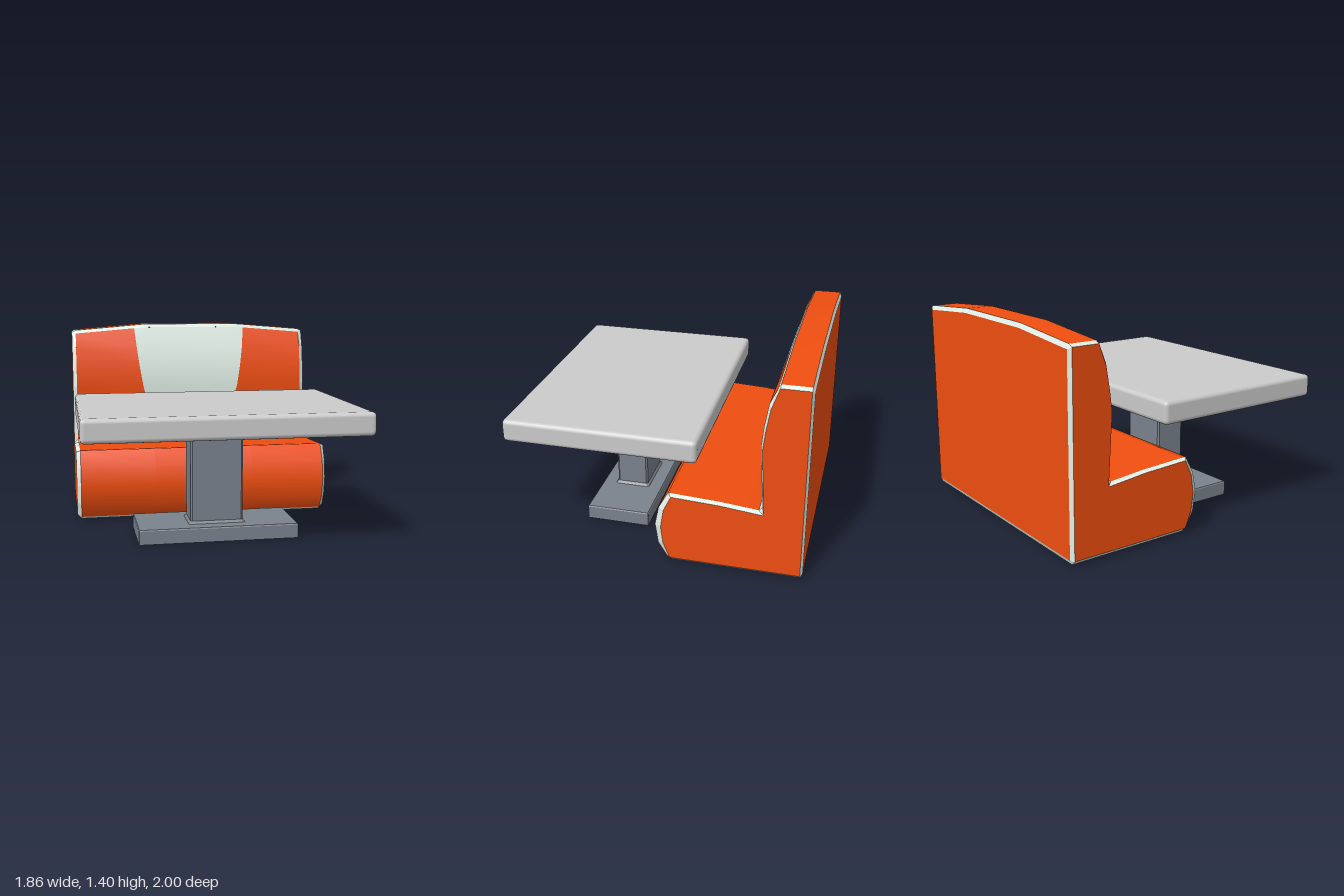
import * as THREE from 'three';
import { RoundedBoxGeometry } from 'three/addons/geometries/RoundedBoxGeometry.js';

const material = (color, extra = {}) => new THREE.MeshStandardMaterial({ color, ...extra });

function addMesh(parent, name, geometry, mat) {
  const mesh = new THREE.Mesh(geometry, mat);
  mesh.name = name;
  parent.add(mesh);
  return mesh;
}

// Surface through rows of [x, y, z] points
function surface(rows) {
  const n = rows[0].length, index = [];
  for (let r = 0; r < rows.length - 1; r++) {
    for (let c = 0; c < n - 1; c++) {
      const a = r * n + c, b = a + n;
      index.push(a, b, b + 1, a, b + 1, a + 1);
    }
  }
  const g = new THREE.BufferGeometry();
  g.setAttribute('position', new THREE.Float32BufferAttribute(rows.flat(2), 3));
  g.setIndex(index);
  g.computeVertexNormals();
  return g;
}

// Bench profile: z, y of the upholstery, then z, y of the inset side panel
const PROFILE = [
  [-0.8, 1.4, -0.8, 1.34], [-0.785, 1.375, -0.8, 1.34], [-0.735, 1.22, -0.75, 1.2],
  [-0.71, 1.07, -0.725, 1.05], [-0.695, 0.92, -0.71, 0.92],
  [-0.722, 0.5, -0.735, 0.47], [-0.7, 0.478, -0.735, 0.46],
  [-0.45, 0.502, -0.45, 0.49], [-0.14, 0.518, -0.15, 0.505], [-0.11, 0.52, -0.135, 0.505],
  [-0.045, 0.4, -0.085, 0.4], [-0.02, 0.27, -0.065, 0.27], [-0.04, 0.13, -0.08, 0.15],
  [-0.1, 0.03, -0.12, 0.05], [-0.13, 0.01, -0.135, 0.04],
  [-0.985, 0.01, -0.985, 0.04], [-1, 0.04, -0.985, 0.04],
  [-1, 1.37, -0.985, 1.34], [-0.985, 1.4, -0.985, 1.34], [-0.8, 1.4, -0.8, 1.34],
];
const HALF = 0.9, OUTER = 0.93;

// Upholstery point at x, with the top edge sloping down towards both ends
function outerPoint([z, y], x) {
  const drop = 0.045 * Math.max(0, Math.abs(x) - 0.36) / 0.54;
  return [x, y > 1.3 ? y - drop : y, z];
}

function createBench() {
  const bench = new THREE.Group();
  bench.name = 'bench';
  const orange = material(0xf04e10);
  const pale = material(0xe2efe7);
  const piping = material(0xe2efe7, { flatShading: true, side: THREE.DoubleSide });
  const full = [-HALF, -0.36, 0.36, HALF];

  const patch = (name, from, to, mat, columns = () => full) =>
    addMesh(bench, name, surface(PROFILE.slice(from, to + 1)
      .map((p, i) => columns(i).map((x) => outerPoint(p, x)))), mat);

  // Backrest front: pale tapering centre between two orange sides
  const edge = [0.44, 0.425, 0.405, 0.38, 0.275];
  patch('backrestCentrePanel', 1, 5, pale, (i) => [-1, -0.82, 0.82, 1].map((f) => f * edge[i]));
  patch('backrestLeftPanel', 1, 5, orange, (i) => [edge[i], HALF]);
  patch('backrestRightPanel', 1, 5, orange, (i) => [-HALF, -edge[i]]);

  // Seat, underside, back and top
  patch('seatCushion', 6, 13, orange);
  patch('benchUnderside', 14, 15, orange);
  patch('benchBack', 16, 17, orange);
  patch('backrestTop', 18, 19, orange);

  // Piping along the width
  patch('topFrontPiping', 0, 1, piping);
  patch('seatCreasePiping', 5, 6, piping);
  patch('bottomFrontPiping', 13, 14, piping);
  patch('bottomBackPiping', 15, 16, piping);
  patch('topBackPiping', 17, 18, piping);

  // Side panels with their surrounding piping
  for (const s of [1, -1]) {
    const side = s > 0 ? 'left' : 'right';
    const rows = PROFILE.map((p) => {
      const pair = [outerPoint(p, s * HALF), [s * OUTER, p[3], p[2]]];
      return s > 0 ? pair : pair.reverse();
    });
    addMesh(bench, side + 'SidePiping', surface(rows), piping);
    const outline = PROFILE.slice(1, -2)
      .filter((p, i, a) => i === 0 || p[2] !== a[i - 1][2] || p[3] !== a[i - 1][3])
      .map((p) => new THREE.Vector2(-s * p[2], p[3]));
    const panel = new THREE.ShapeGeometry(new THREE.Shape(outline));
    panel.rotateY(s * Math.PI / 2).translate(s * OUTER, 0, 0);
    addMesh(bench, side + 'SidePanel', panel, orange);
  }
  return bench;
}

// Rectangle with chamfered corners at height y
function ring(hx, hz, c, y) {
  const pts = [
    [-hx + c, hz], [hx - c, hz], [hx, hz - c], [hx, -hz + c],
    [hx - c, -hz], [-hx + c, -hz], [-hx, -hz + c], [-hx, hz - c],
  ];
  return [...pts, pts[0]].map(([x, z]) => [x, y, z]);
}

function createTable() {
  const table = new THREE.Group();
  table.name = 'table';
  const top = addMesh(table, 'tableTop', new RoundedBoxGeometry(1.855, 0.155, 1.3, 2, 0.03),
    material(0xcccccc));
  top.position.set(0, 0.8375, 0.35);

  // Hollow foot flowing into the post, open underneath
  const stand = surface([
    ring(0.18, 0.113, 0.012, 0.77),
    ring(0.18, 0.113, 0.012, 0.118),
    ring(0.195, 0.127, 0.012, 0.1),
    ring(0.54, 0.218, 0.003, 0.1),
    ring(0.545, 0.223, 0.003, 0.092),
    ring(0.545, 0.223, 0.003, 0),
  ]);
  addMesh(table, 'tablePedestal', stand,
    material(0x7a828d, { flatShading: true, side: THREE.DoubleSide })).position.z = 0.357;
  return table;
}

export function createModel() {
  const model = new THREE.Group();
  model.name = 'dinerBooth';
  model.add(createBench(), createTable());
  return model;
}
